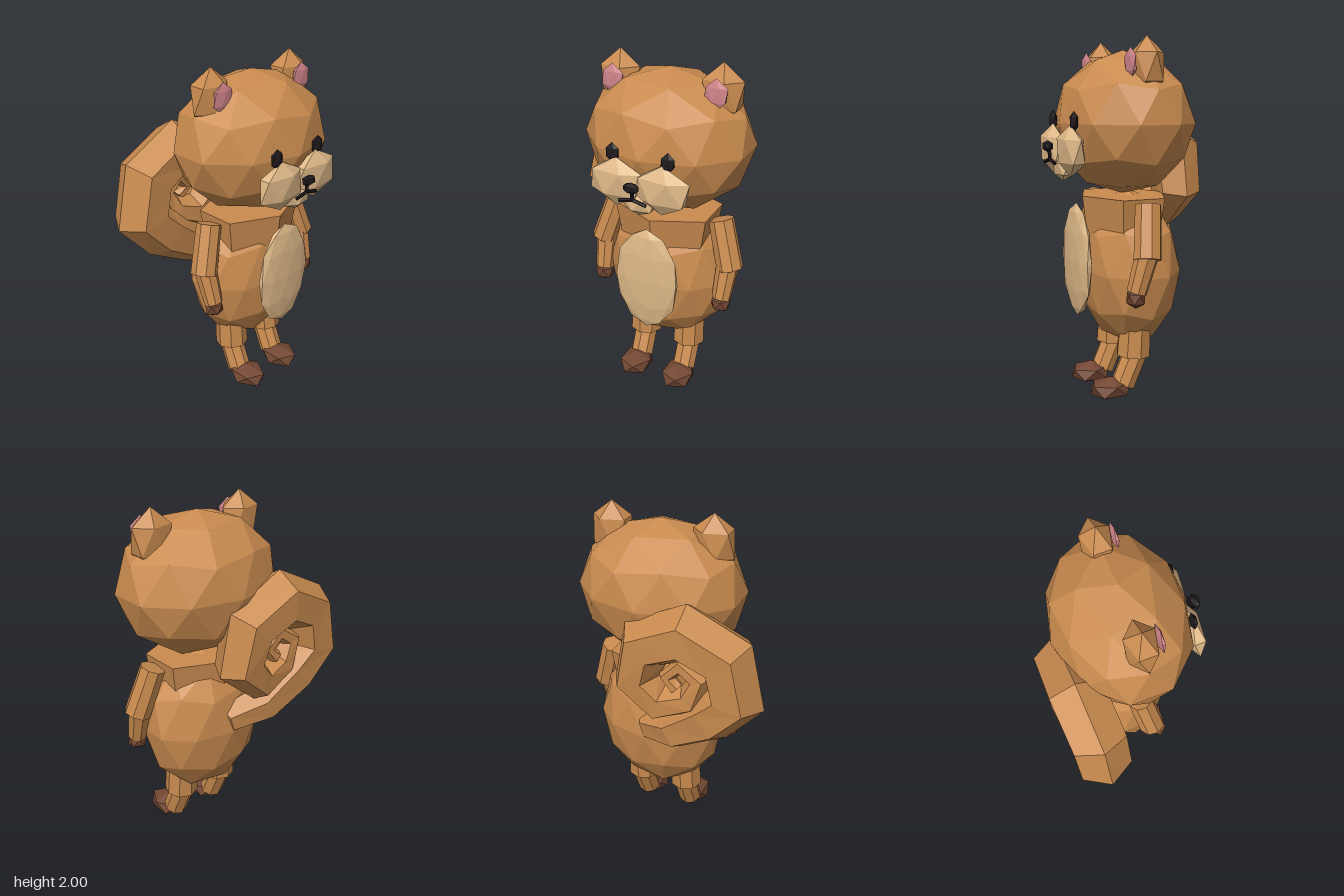
import * as THREE from 'three';

const mat = (name, color) => {
  const m = new THREE.MeshStandardMaterial({ color });
  m.name = name;
  return m;
};

export function createModel() {
  const root = new THREE.Group();
  root.name = 'squirrelBear';
  const fur = mat('fur', 0xc98b4f);
  const cream = mat('cream', 0xdeb887);
  const brown = mat('pawBrown', 0x734733);
  const pink = mat('innerEarPink', 0xd2868c);
  const black = mat('black', 0x1f191c);
  const MID = 0.11; // the figure's own centre line

  const add = (name, geo, material) => {
    const g = geo.index ? geo.toNonIndexed() : geo;
    g.computeVertexNormals(); // faceted normals
    const mesh = new THREE.Mesh(g, material);
    mesh.name = name;
    root.add(mesh);
    return mesh;
  };

  // Faceted ball standing on one of its corners
  const ball = (name, material, [x, y, z], [rx, ry, rz], detail = 0) => {
    const g = new THREE.IcosahedronGeometry(1, detail);
    g.rotateX(-Math.atan((1 + Math.sqrt(5)) / 2)).rotateY(Math.PI / 2);
    g.scale(rx, ry, rz).translate(x, y, z);
    return add(name, g, material);
  };

  // Straight limb between two points
  const limb = (name, material, a, b, ra, rb = ra, sides = 8) => {
    const p = new THREE.Vector3(...a), q = new THREE.Vector3(...b);
    const d = q.clone().sub(p);
    const g = new THREE.CylinderGeometry(rb, ra, d.length(), sides);
    g.applyQuaternion(new THREE.Quaternion().setFromUnitVectors(
      new THREE.Vector3(0, 1, 0), d.clone().normalize()));
    g.translate(...p.add(q).multiplyScalar(0.5).toArray());
    return add(name, g, material);
  };

  // Head, body, shoulders and belly patch
  ball('head', fur, [MID, 1.545, 0.01], [0.484, 0.395, 0.375], 1);
  ball('body', fur, [MID, 0.725, -0.02], [0.38, 0.45, 0.275], 1);
  const shoulders = new THREE.CylinderGeometry(1, 0.86, 0.26, 6);
  shoulders.scale(0.32, 1, 0.245).translate(MID, 1.015, 0.01);
  add('shoulders', shoulders, fur);
  ball('belly', cream, [MID, 0.79, 0.29], [0.195, 0.32, 0.042], 1);

  // Paired parts, s = -1 right, +1 left
  for (const s of [-1, 1]) {
    const side = s < 0 ? 'right' : 'left';
    const X = (d) => MID + s * d;

    ball(side + 'Ear', fur, [X(0.295), 1.838, 0.012], [0.13, 0.162, 0.095]);
    ball(side + 'InnerEar', pink, [X(0.295), 1.855, 0.105], [0.072, 0.085, 0.016]);
    ball(side + 'Eye', black, [X(0.158), 1.558, 0.363], [0.043, 0.057, 0.021]);
    ball(side + 'Cheek', cream, [X(0.133), 1.405, 0.373], [0.17, 0.138, 0.061]);

    limb(side + 'UpperArm', fur, [X(0.32), 1.12, 0.01], [X(0.405), 0.845, 0.055], 0.072, 0.076);
    limb(side + 'Forearm', fur, [X(0.39), 0.89, 0.045], [X(0.38), 0.67, 0.105], 0.066, 0.054);
    ball(side + 'Hand', brown, [X(0.38), 0.642, 0.11], [0.062, 0.058, 0.056]);

    limb(side + 'Thigh', fur, [X(0.145), 0.42, 0], [X(0.145), 0.245, 0.01], 0.093, 0.098);
    limb(side + 'Shin', fur, [X(0.145), 0.25, -0.0], [X(0.145), 0.08, 0.075], 0.07, 0.07);
    ball(side + 'Foot', brown, [X(0.143), 0.068, 0.15], [0.105, 0.066, 0.131]);
  }

  // Chin, nose and mouth
  ball('chin', cream, [MID, 1.302, 0.365], [0.1, 0.068, 0.05]);
  ball('nose', black, [MID - 0.003, 1.425, 0.452], [0.05, 0.032, 0.03]);
  limb('mouthStem', black, [MID - 0.003, 1.42, 0.442], [MID - 0.003, 1.35, 0.442], 0.01, 0.01, 6);
  for (const s of [-1, 1]) {
    limb('mouthCorner', black, [MID - 0.003, 1.355, 0.44], [MID - 0.003 + s * 0.078, 1.337, 0.44], 0.01, 0.01, 6);
  }

  // Curled tail: x, y, z, radius along the spiral
  const path = [
    [0.12, 0.78, -0.22, 0.09], [-0.08, 0.84, -0.29, 0.12],
    [-0.3, 0.99, -0.3, 0.155], [-0.44, 1.13, -0.305, 0.165],
    [-0.39, 1.36, -0.31, 0.165], [-0.17, 1.47, -0.33, 0.165],
    [0.06, 1.37, -0.335, 0.155], [0.11, 1.16, -0.335, 0.14],
    [-0.03, 1.03, -0.335, 0.115], [-0.2, 1.09, -0.335, 0.085],
    [-0.25, 1.22, -0.34, 0.065], [-0.15, 1.29, -0.345, 0.055],
    [-0.07, 1.21, -0.35, 0.045], [-0.13, 1.15, -0.36, 0.04],
  ];
  const SIDES = 6, pos = [], idx = [];
  path.forEach(([x, y, z, r], i) => {
    const p = path[Math.max(i - 1, 0)], q = path[Math.min(i + 1, path.length - 1)];
    const t = new THREE.Vector2(q[0] - p[0], q[1] - p[1]).normalize();
    for (let k = 0; k < SIDES; k++) {
      const a = (k / SIDES) * Math.PI * 2;
      pos.push(x - t.y * r * Math.cos(a), y + t.x * r * Math.cos(a), z + r * Math.sin(a));
    }
  });
  for (let i = 0; i < path.length - 1; i++) {
    for (let k = 0; k < SIDES; k++) {
      const a = i * SIDES + k, b = i * SIDES + ((k + 1) % SIDES);
      idx.push(a, b, b + SIDES, a, b + SIDES, a + SIDES);
    }
  }
  const last = (path.length - 1) * SIDES;
  for (let k = 1; k < SIDES - 1; k++) {
    idx.push(0, k + 1, k, last, last + k, last + k + 1); // end caps
  }
  const tail = new THREE.BufferGeometry();
  tail.setAttribute('position', new THREE.Float32BufferAttribute(pos, 3));
  tail.setIndex(idx);
  add('tail', tail, fur);

  return root;
}
